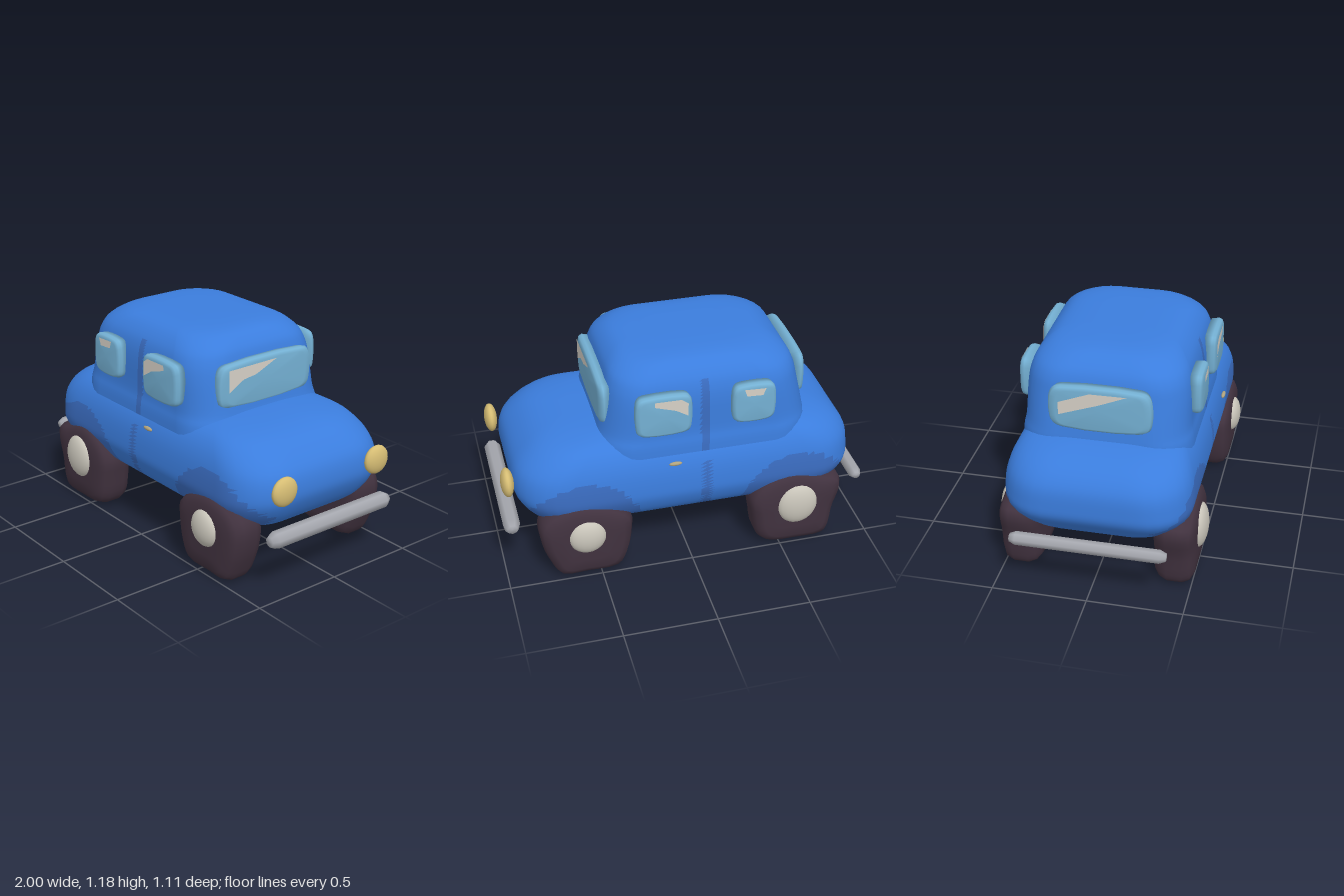
import * as THREE from 'three';

const mat = (name, color, side = THREE.FrontSide) => {
  const m = new THREE.MeshStandardMaterial({ color, side });
  m.name = name;
  return m;
};

// Closed smooth loft through equal-length rings, capped at both ends
function loft(rings) {
  const n = rings[0].length, pos = [], idx = [];
  rings.forEach(r => r.forEach(p => pos.push(p.x, p.y, p.z)));
  for (let i = 0; i < rings.length - 1; i++) for (let j = 0; j < n; j++) {
    const a = i * n + j, b = i * n + (j + 1) % n;
    idx.push(a, b, a + n, b, b + n, a + n);
  }
  for (const i of [0, rings.length - 1]) {
    const c = rings[i].reduce((s, p) => s.add(p), new THREE.Vector3()).divideScalar(n);
    const k = pos.length / 3;
    pos.push(c.x, c.y, c.z);
    for (let j = 0; j < n; j++) {
      const a = i * n + j, b = i * n + (j + 1) % n;
      i ? idx.push(a, b, k) : idx.push(b, a, k);
    }
  }
  // turn all faces outward
  const at = i => new THREE.Vector3().fromArray(pos, i * 3);
  let volume = 0;
  for (let i = 0; i < idx.length; i += 3) volume += at(idx[i]).dot(at(idx[i + 1]).cross(at(idx[i + 2])));
  if (volume < 0) idx.reverse();
  const g = new THREE.BufferGeometry();
  g.setAttribute('position', new THREE.Float32BufferAttribute(pos, 3));
  g.setIndex(idx);
  g.computeVertexNormals();
  return g;
}

// Horizontal rounded rectangle
function roundedRing(y, x0, x1, zh, r) {
  r = Math.min(r, zh * 0.95);
  const corners = [[x1 - r, zh - r], [x0 + r, zh - r], [x0 + r, -zh + r], [x1 - r, -zh + r]];
  const ring = [];
  corners.forEach(([cx, cz], c) => {
    for (let k = 0; k <= 7; k++) {
      const a = (c + k / 7) * Math.PI / 2;
      ring.push(new THREE.Vector3(cx + r * Math.cos(a), y, cz + r * Math.sin(a)));
    }
    const last = ring[ring.length - 1], a = (c + 1) * Math.PI / 2, next = corners[(c + 1) % 4];
    const to = new THREE.Vector3(next[0] + r * Math.cos(a), y, next[1] + r * Math.sin(a));
    const count = c % 2 ? 8 : 36;
    for (let k = 1; k < count; k++) ring.push(last.clone().lerp(to, k / count));
  });
  return ring;
}

// Shell from rows of [y, rear x, front x, half width, corner radius]
function shell(rows, steps) {
  const curve = f => new THREE.CatmullRomCurve3(rows.map(f), false, 'catmullrom', 0.5);
  const a = curve(r => new THREE.Vector3(r[1], r[0], r[3]));
  const b = curve(r => new THREE.Vector3(r[2], r[0], r[4]));
  const rings = [];
  for (let i = 0; i <= steps; i++) {
    const p = a.getPoint(i / steps), q = b.getPoint(i / steps);
    rings.push(roundedRing(p.y, p.x, q.x, p.z, q.z));
  }
  return loft(rings);
}

// Assign the faces that satisfy a rule to the second material
function paint(g, rule) {
  const idx = g.index.array, p = g.attributes.position, sets = [[], []];
  for (let i = 0; i < idx.length; i += 3) {
    const t = [idx[i], idx[i + 1], idx[i + 2]];
    const mid = f => (p[f](t[0]) + p[f](t[1]) + p[f](t[2])) / 3;
    sets[rule(mid('getX'), mid('getY'), mid('getZ')) ? 1 : 0].push(...t);
  }
  g.setIndex([...sets[0], ...sets[1]]);
  g.addGroup(0, sets[0].length, 0);
  g.addGroup(sets[0].length, sets[1].length, 1);
  return g;
}

// Pillow with a rounded outline in xy; levels are [z, scale]
function pillow(outline, levels) {
  const curve = new THREE.CatmullRomCurve3(outline.map(p => new THREE.Vector3(p[0], p[1], 0)), true);
  const pts = curve.getPoints(36).slice(0, 36);
  const c = new THREE.Box3().setFromPoints(pts).getCenter(new THREE.Vector3());
  return loft(levels.map(([z, s]) => pts.map(p =>
    new THREE.Vector3(c.x + (p.x - c.x) * s, c.y + (p.y - c.y) * s, z))));
}

function boxOutline(x0, x1, y0, y1, c = 0.045) {
  return [[x0 + c, y0], [x1 - c, y0], [x1 - c / 4, y0 + c / 3], [x1, y0 + c], [x1, y1 - c], [x1 - c / 3, y1 - c / 4],
    [x1 - c, y1], [x0 + c, y1], [x0 + c / 3, y1 - c / 4], [x0, y1 - c], [x0, y0 + c], [x0 + c / 4, y0 + c / 3]];
}

const flat = pts => new THREE.ShapeGeometry(new THREE.Shape(pts.map(p => new THREE.Vector2(...p))));

export function createModel() {
  const car = new THREE.Group();
  car.name = 'car';
  const blue = mat('bodyBlue', 0x3b7ddd), shade = mat('deepBlue', 0x3a6cc0);
  const tyre = mat('tyreDark', 0x41323f), cream = mat('hubCream', 0xc9c5ba);
  const glass = mat('glassBlue', 0x74b0d3), glint = mat('glintCream', 0xd6d0c6, THREE.DoubleSide);
  const lamp = mat('lampGold', 0xd6bd74), silver = mat('bumperSilver', 0xa5a7ae);
  const handleMat = mat('handleTan', 0xb3a57f);
  const add = (name, geometry, material, parent = car) => {
    const m = new THREE.Mesh(geometry, material);
    m.name = name;
    parent.add(m);
    return m;
  };

  // Body shells with darker wheel arches and door seam
  const seam = x => Math.abs(x + 0.08) < 0.022;
  const lower = shell([
    [0.245, -0.70, 0.66, 0.26, 0.15], [0.27, -0.78, 0.75, 0.36, 0.2], [0.33, -0.85, 0.84, 0.44, 0.22],
    [0.42, -0.92, 0.90, 0.485, 0.24], [0.5, -0.93, 0.92, 0.49, 0.25], [0.6, -0.915, 0.9, 0.475, 0.25],
    [0.68, -0.85, 0.83, 0.44, 0.24], [0.735, -0.74, 0.74, 0.385, 0.22], [0.765, -0.6, 0.62, 0.3, 0.2],
    [0.78, -0.45, 0.45, 0.2, 0.15]], 45);
  add('lowerBody', paint(lower, (x, y, z) => Math.abs(z) > 0.3 && y > 0.3 && y < 0.62 &&
    (seam(x) || Math.hypot(Math.abs(x) - 0.58, y - 0.27) < 0.31)), [blue, shade]);
  const cabin = shell([
    [0.5, -0.66, 0.48, 0.455, 0.2], [0.7, -0.67, 0.47, 0.445, 0.2], [0.79, -0.66, 0.45, 0.43, 0.2],
    [0.95, -0.625, 0.42, 0.425, 0.2], [1.04, -0.605, 0.40, 0.41, 0.2], [1.1, -0.57, 0.375, 0.38, 0.2],
    [1.15, -0.5, 0.32, 0.325, 0.2], [1.172, -0.42, 0.25, 0.25, 0.18], [1.18, -0.3, 0.13, 0.13, 0.1]], 40);
  add('cabin', paint(cabin, (x, y, z) => Math.abs(z) > 0.38 && y < 1.08 && seam(x)), [blue, shade]);

  // Chunky uneven wheel outlines
  const wheels = {
    rear: [[-0.76, 0.01], [-0.6, 0], [-0.42, 0.015], [-0.37, 0.07], [-0.345, 0.2], [-0.335, 0.31], [-0.4, 0.41],
      [-0.55, 0.46], [-0.72, 0.415], [-0.83, 0.38], [-0.845, 0.32], [-0.81, 0.2], [-0.79, 0.06]],
    front: [[0.4, 0.02], [0.58, 0.01], [0.72, 0.015], [0.77, 0.1], [0.81, 0.22], [0.815, 0.34], [0.75, 0.415],
      [0.6, 0.45], [0.43, 0.41], [0.33, 0.34], [0.325, 0.24], [0.35, 0.1]]
  };
  const tread = [[0.3, 0.6], [0.305, 0.8], [0.33, 0.93], [0.37, 1], [0.45, 1], [0.49, 0.93], [0.51, 0.78], [0.515, 0.5]];
  const hubs = { rear: [-0.585, 0.265, 0.113, 0.123], front: [0.575, 0.27, 0.1, 0.1] };

  // Side windows with a glint, all as [outline, glint]
  const pane = [[0, 0.96], [0.04, 1], [0.057, 0.96], [0.067, 0.84]];
  const at = (base, levels) => levels.map(([d, s]) => [base + d, s]);
  const sideWindows = {
    rear: [boxOutline(-0.445, -0.215, 0.825, 1.045), [[-0.37, 0.985], [-0.385, 1.025], [-0.27, 1.03], [-0.285, 0.99]]],
    front: [boxOutline(0, 0.295, 0.815, 1.045), [[0.025, 0.925], [0.025, 1.0], [0.06, 1.026], [0.2, 1.028], [0.2, 1.0], [0.09, 0.965]]]
  };

  for (const side of [1, -1]) {
    const half = new THREE.Group();
    half.name = side > 0 ? 'nearSide' : 'farSide';
    car.add(half);
    const turned = (g) => {
      if (side > 0) return g;
      g.scale(1, 1, -1);
      g.index.array.reverse();
      g.computeVertexNormals();
      return g;
    };
    for (const end of ['front', 'rear']) {
      add(end + 'Wheel', turned(pillow(wheels[end], tread)), tyre, half);
      const [x, y, rx, ry] = hubs[end];
      const hub = add(end + 'Hubcap', new THREE.SphereGeometry(1, 20, 14), cream, half);
      hub.position.set(x, y, side * 0.505);
      hub.scale.set(rx, ry, 0.05);
      const [outline, shine] = sideWindows[end];
      add(end + 'SideWindow', turned(pillow(outline, at(0.41, pane))), glass, half);
      add(end + 'SideGlint', flat(shine), glint, half).position.z = side * 0.48;
    }
    const handle = add('doorHandle', new THREE.SphereGeometry(1, 10, 6), handleMat, half);
    handle.position.set(0.1, 0.66, side * 0.512);
    handle.scale.set(0.037, 0.011, 0.011);
    const light = add('headlight', new THREE.SphereGeometry(1, 20, 14), lamp, half);
    light.position.set(0.952, 0.555, side * 0.312);
    light.scale.set(0.035, 0.078, 0.078);
  }

  // Windscreen and rear window, drawn facing +z and turned to the ends
  const ends = {
    windscreen: [0.385, 0.31, Math.PI / 2, [[-0.255, 0.9], [-0.255, 1.02], [0.06, 1.024], [-0.08, 0.965], [-0.16, 0.955]]],
    rearWindow: [0.61, 0.265, -Math.PI / 2, [[-0.21, 0.89], [-0.21, 0.96], [-0.05, 1.022], [0.14, 1.024], [0.0, 0.965]]]
  };
  for (const [name, [x, w, turn, shine]] of Object.entries(ends)) {
    const g = new THREE.Group();
    g.name = name;
    g.rotation.y = turn;
    car.add(g);
    add(name + 'Pane', pillow(boxOutline(-w, w, 0.81, 1.042, 0.06), at(x, pane)), glass, g);
    add(name + 'Glint', flat(shine), glint, g).position.z = x + 0.07;
  }

  // Bumper bars with tapered ends
  for (const [name, x, r] of [['frontBumper', 0.953, 0.046], ['rearBumper', -0.965, 0.036]]) {
    const prof = [[0, -0.405], [0.6 * r, -0.403], [r, -0.37], [r, 0.37], [0.6 * r, 0.403], [0, 0.405]];
    const bar = add(name, new THREE.LatheGeometry(prof.map(p => new THREE.Vector2(...p)), 7), silver);
    bar.rotation.x = Math.PI / 2;
    bar.position.set(x, 0.31, 0);
  }
  return car;
}
